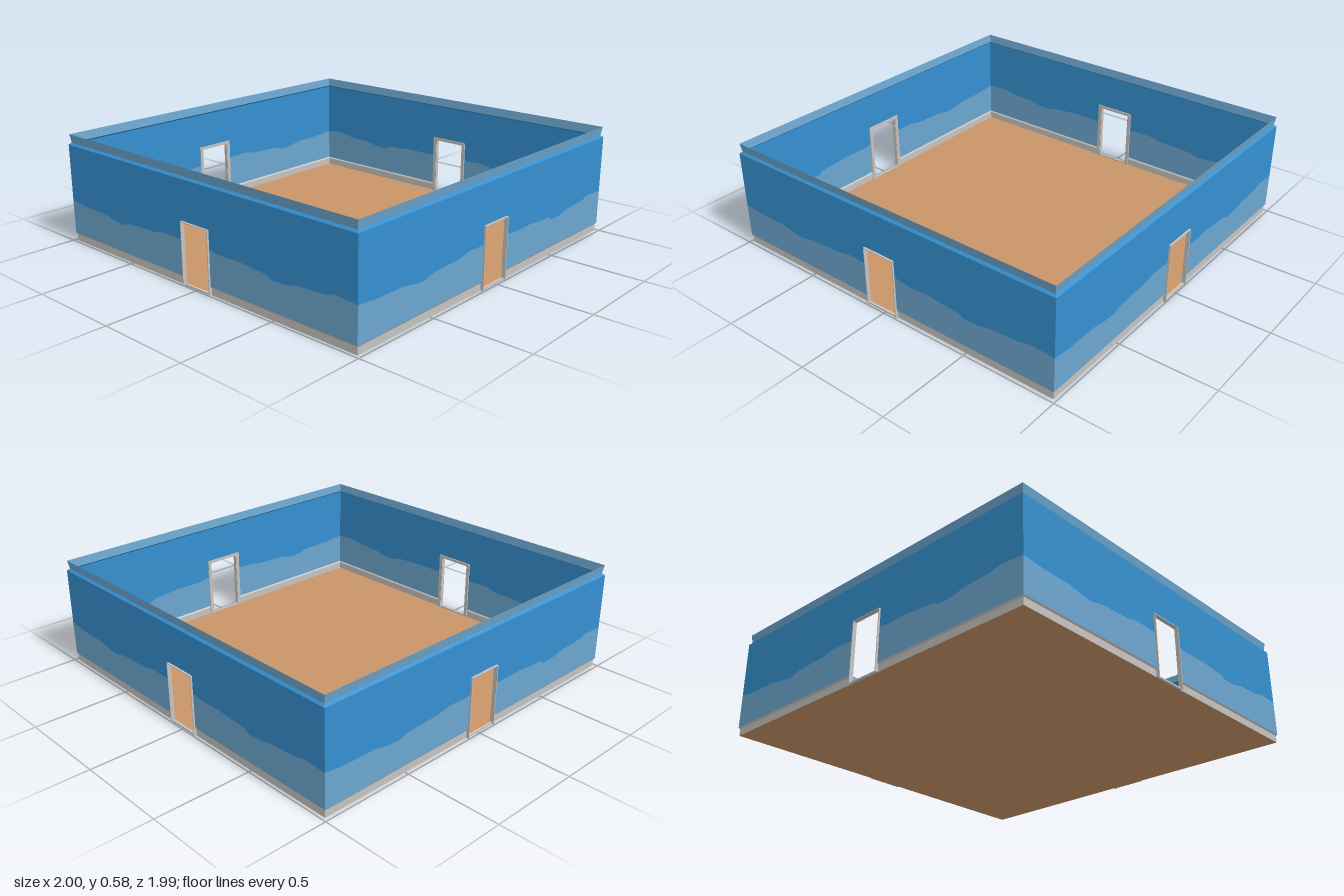
import * as THREE from 'three';

const mat = (name, color) => {
  const m = new THREE.MeshStandardMaterial({ color, side: THREE.DoubleSide });
  m.name = name;
  return m;
};

// Wavy paint line along a wall: [position, height]
const WAVE = [
  [-1, 0.225], [-0.87, 0.213], [-0.7, 0.211], [-0.62, 0.196], [-0.55, 0.191], [-0.5, 0.207],
  [-0.4, 0.212], [-0.3, 0.215], [-0.23, 0.23], [-0.1, 0.226], [0.08, 0.231], [0.15, 0.218],
  [0.3, 0.221], [0.38, 0.214], [0.47, 0.209], [0.5, 0.192], [0.58, 0.194], [0.65, 0.21],
  [0.8, 0.217], [0.86, 0.232], [1, 0.225],
];
const SKIRT_TOP = 0.045, WALL_TOP = 0.525, DOOR_TOP = 0.32, DOOR_HALF = 0.0925;

function waveAt(u) {
  const i = Math.max(1, WAVE.findIndex((p) => p[0] >= u));
  const [a, b] = [WAVE[i - 1], WAVE[i]];
  return a[1] + ((b[1] - a[1]) * (u - a[0])) / (b[0] - a[0]);
}

function wavePoints(u0, u1) {
  const inner = WAVE.filter((p) => p[0] > u0 && p[0] < u1);
  return [[u0, waveAt(u0)], ...inner, [u1, waveAt(u1)]];
}

export function createModel() {
  const room = new THREE.Group();
  room.name = 'room';
  const blue = mat('wallBlue', 0x3590d0);
  const paleBlue = mat('paleBlue', 0x6ca6cf);
  const trim = mat('greyTrim', 0xc6c3bf);
  const wood = mat('floorBrown', 0xc89468);

  function add(parent, geometry, material, name) {
    const mesh = new THREE.Mesh(geometry, material);
    mesh.name = name;
    parent.add(mesh);
    return mesh;
  }

  function panel(parent, points, z, material, name) {
    const shape = new THREE.Shape(points.map((p) => new THREE.Vector2(p[0], p[1])));
    add(parent, new THREE.ShapeGeometry(shape), material, name).position.z = z;
  }

  // Flat strip between two heights; each end is [left, right, y, z]
  function strip(parent, lo, hi, material, name) {
    const g = new THREE.BufferGeometry();
    g.setAttribute('position', new THREE.Float32BufferAttribute([
      lo[0], lo[2], lo[3], lo[1], lo[2], lo[3], hi[1], hi[2], hi[3], hi[0], hi[2], hi[3],
    ], 3));
    g.setIndex([0, 1, 2, 0, 2, 3]);
    g.computeVertexNormals();
    add(parent, g, material, name);
  }

  function box(parent, w, h, d, x, y, z, name) {
    add(parent, new THREE.BoxGeometry(w, h, d), trim, name).position.set(x, y, z);
  }

  // One wall facing +z: half length L, distance D, door centred at c
  function makeWall(name, L, D, c, angle) {
    const wall = new THREE.Group();
    wall.name = name;
    wall.rotation.y = angle;
    const d0 = c - DOOR_HALF, d1 = c + DOOR_HALF;
    const left = wavePoints(-L, d0), right = wavePoints(d1, L);

    // Painted surface
    panel(wall, [...left, [d0, DOOR_TOP], [d1, DOOR_TOP], ...right, [L, WALL_TOP], [-L, WALL_TOP]],
      D, blue, 'upperPaint');
    panel(wall, [[-L, SKIRT_TOP], [d0, SKIRT_TOP], ...left.reverse()], D, paleBlue, 'lowerPaintLeft');
    panel(wall, [[d1, SKIRT_TOP], [L, SKIRT_TOP], ...right.reverse()], D, paleBlue, 'lowerPaintRight');

    // Skirting with a bevelled top, interrupted by the door
    const s = 0.006;
    for (const [lowA, lowB, topA, topB, side] of [
      [-L + s, d0, -L, d0, 'Left'], [d1, L - s, d1, L, 'Right'],
    ]) {
      strip(wall, [lowA, lowB, 0, D - s], [lowA, lowB, 0.037, D - s], trim, 'skirting' + side);
      strip(wall, [lowA, lowB, 0.037, D - s], [topA, topB, SKIRT_TOP, D], trim, 'skirtingBevel' + side);
    }

    // Ledge and leaning cornice
    const ring = (o, y) => [-L + o, L - o, y, D - o];
    strip(wall, ring(0, WALL_TOP), ring(0.012, 0.535), blue, 'corniceLedge');
    strip(wall, ring(0.012, 0.535), ring(0.005, 0.58), paleBlue, 'cornice');

    // Door lining, inner architrave and threshold
    const frame = new THREE.Group();
    frame.name = 'doorFrame';
    wall.add(frame);
    const t = 0.004, depth = 0.02, zc = D;
    for (const sgn of [-1, 1]) {
      box(frame, t, DOOR_TOP, depth, c + sgn * (DOOR_HALF + t / 2 - 0.002), DOOR_TOP / 2, zc, 'jamb');
      box(frame, 0.02, DOOR_TOP + 0.015, 0.006, c + sgn * (DOOR_HALF + 0.01),
        (DOOR_TOP + 0.015) / 2, D - 0.01, 'architrave');
    }
    box(frame, DOOR_HALF * 2, t, depth, c, DOOR_TOP, zc, 'doorHead');
    box(frame, DOOR_HALF * 2, 0.015, 0.006, c, DOOR_TOP + 0.0075, D - 0.01, 'headArchitrave');
    box(frame, DOOR_HALF * 2, 0.008, 0.012, c, 0.004, D - 0.004, 'threshold');
    room.add(wall);
  }

  const X = 0.99, Z = 0.986;
  makeWall('frontWall', X, Z, -0.0175, 0);
  makeWall('backWall', X, Z, 0.0175, Math.PI);
  makeWall('leftWall', Z, X, 0, Math.PI / 2);
  makeWall('rightWall', Z, X, 0, -Math.PI / 2);

  // Floor
  const floor = new THREE.PlaneGeometry(2 * (X - 0.006), 2 * (Z - 0.006));
  floor.rotateX(-Math.PI / 2);
  add(room, floor, wood, 'floor');
  return room;
}
